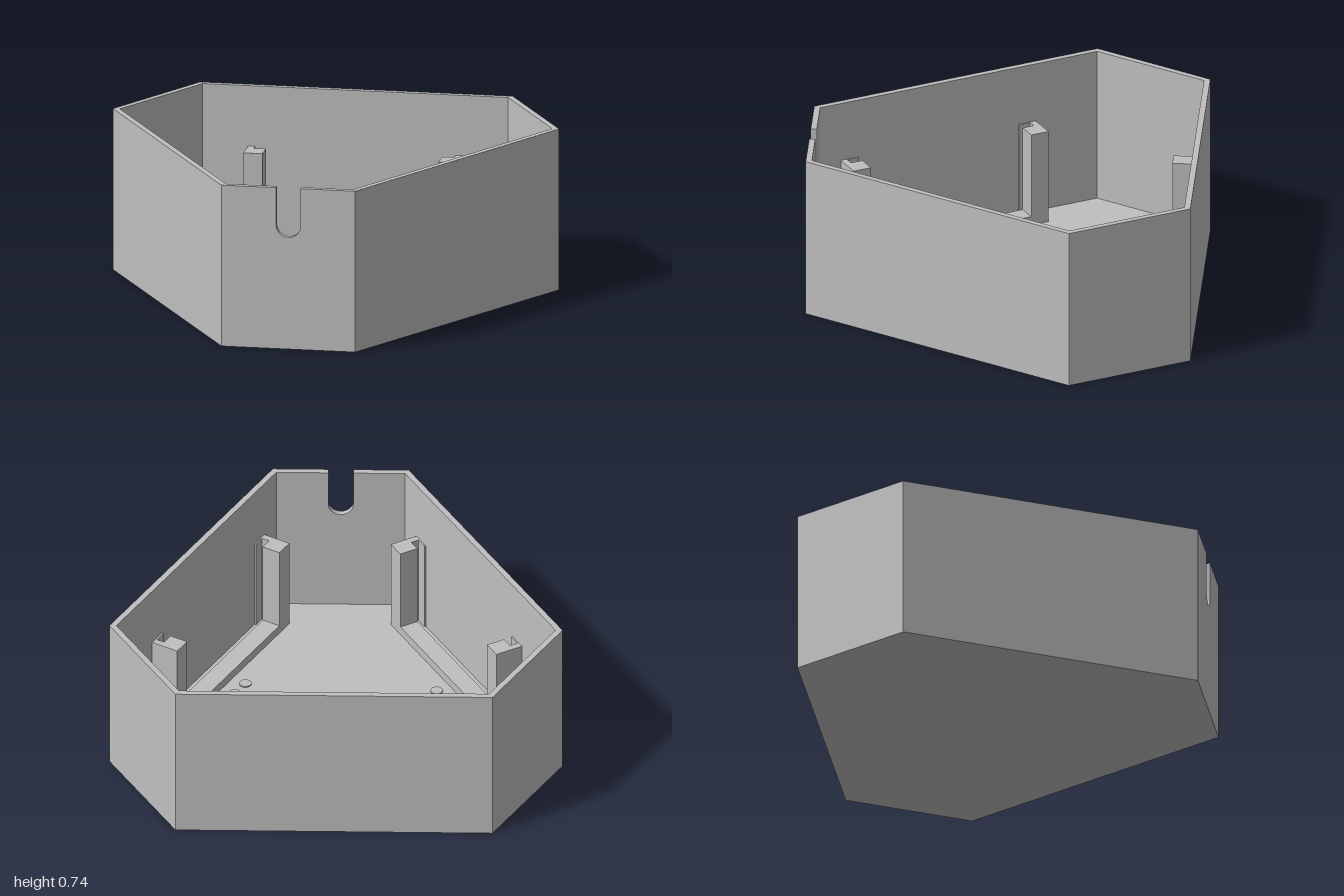
import * as THREE from 'three';

const HEIGHT = 0.735, WALL = 0.027, FLOOR = 0.025;
const NOTCH = 0.055, NOTCH_Y = 0.565;      // cable notch radius and centre height
const POST_TOP = 0.46, SILL_TOP = 0.065;

// Right half of the equal-angled six-sided plan, inset by t, as [x, z] from back to front
function halfPlan(t) {
  const k = t / Math.sqrt(3);
  return [[0.7 - k, -0.863 + t], [1 - 2 * k, -0.345], [0.3 - k, 0.863 - t]];
}
const mirror = pts => pts.map(([x, z]) => [-x, z]).reverse();

// Extrude an [x, z] plan upward from y0 to y1
function planSolid(points, y0, y1) {
  const shape = new THREE.Shape(points.map(([x, z]) => new THREE.Vector2(x, -z)));
  const geo = new THREE.ExtrudeGeometry(shape, { depth: y1 - y0, bevelEnabled: false });
  return geo.rotateX(-Math.PI / 2).translate(0, y0, 0);
}

export function createModel() {
  const model = new THREE.Group();
  const grey = new THREE.MeshStandardMaterial({ color: 0xbfbfbf });
  grey.name = 'plain grey';
  const add = (parent, name, geo) => {
    const mesh = new THREE.Mesh(geo, grey);
    mesh.name = name;
    parent.add(mesh);
    return mesh;
  };

  // Floor and surrounding wall, open at the notch in the front
  const inner = halfPlan(WALL), outer = halfPlan(0);
  add(model, 'floor', planSolid([...inner, ...mirror(inner)], 0, FLOOR));
  const zOut = 0.863, zIn = zOut - WALL;
  add(model, 'wall', planSolid([
    [NOTCH, zOut], ...[...outer].reverse(), ...mirror(outer).reverse(), [-NOTCH, zOut],
    [-NOTCH, zIn], ...mirror(inner), ...inner, [NOTCH, zIn],
  ], 0, HEIGHT));

  // Wall below the rounded notch
  const under = new THREE.Shape();
  under.moveTo(-NOTCH, 0);
  under.lineTo(NOTCH, 0);
  under.lineTo(NOTCH, NOTCH_Y);
  under.absarc(0, NOTCH_Y, NOTCH, 0, Math.PI, true);
  under.closePath();
  add(model, 'wallBelowNotch', new THREE.ExtrudeGeometry(under,
    { depth: WALL, bevelEnabled: false, curveSegments: 24 }).translate(0, 0, zIn));

  // Board holders: two grooved posts joined by a low sill, one on each long wall
  const holders = [
    ['backHolder', 0, 0.836, 0],
    ['leftHolder', -Math.PI * 2 / 3, 0.665, 0.007],
    ['rightHolder', Math.PI * 2 / 3, 0.665, 0.007],
  ];
  for (const [name, angle, distance, lip] of holders) {
    const holder = new THREE.Group();
    holder.name = name;
    holder.rotation.y = angle;
    model.add(holder);
    const w = -distance, g0 = w + lip, g1 = g0 + 0.036, front = g0 + 0.122;
    const post = [[0.48, w], [0.48, front], [0.395, front], [0.395, g1], [0.45, g1], [0.45, g0]];
    if (lip > 0) post.push([0.395, g0], [0.395, w]);
    add(holder, 'post', planSolid(post, FLOOR, POST_TOP));
    add(holder, 'post', planSolid(mirror(post), FLOOR, POST_TOP));
    add(holder, 'sill', planSolid(
      [[-0.395, g1], [0.395, g1], [0.395, front], [-0.395, front]], FLOOR, SILL_TOP));
  }

  // Thin direction arrow and position dots on the floor
  const arrow = [[0, -0.575], [0.172, -0.4], [0.088, -0.4], [0.088, -0.26]];
  add(model, 'arrow', planSolid([...arrow, ...mirror(arrow.slice(1))], FLOOR, FLOOR + 0.006));
  const dots = [[0, -0.645], [-0.48, 0.105], [-0.435, 0.18],
    [0.5, 0.07], [0.455, 0.145], [0.41, 0.22]];
  for (const [x, z] of dots) {
    add(model, 'dot', new THREE.CylinderGeometry(0.027, 0.027, 0.006, 24))
      .position.set(x, FLOOR + 0.003, z);
  }
  return model;
}
